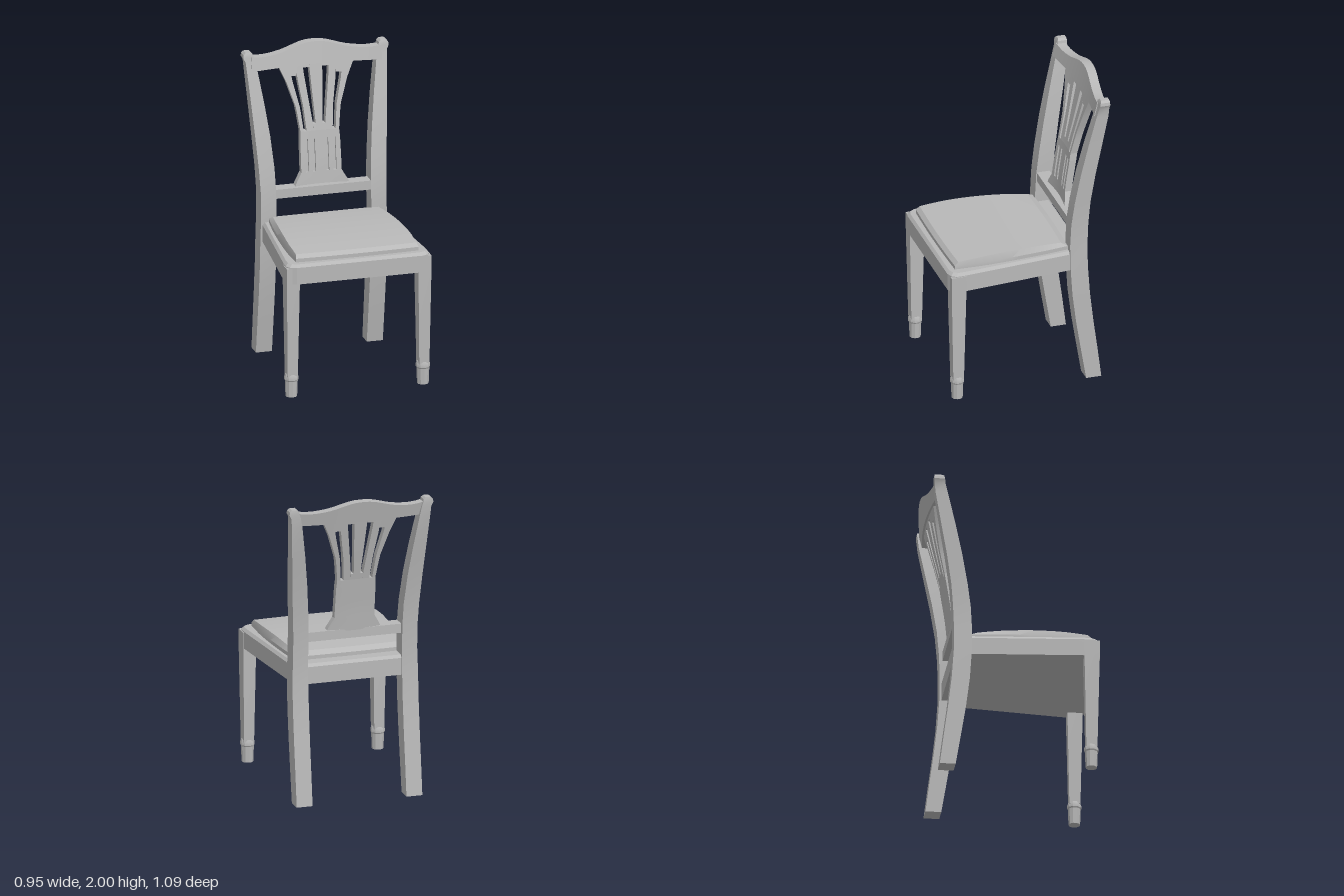
import * as THREE from 'three';
import { toCreasedNormals } from 'three/addons/utils/BufferGeometryUtils.js';

const lerp = THREE.MathUtils.lerp;

// Piecewise linear lookup in a list of [key, value] pairs
function table(pairs, k) {
  if (k <= pairs[0][0]) return pairs[0][1];
  for (let i = 1; i < pairs.length; i++) {
    const [k0, v0] = pairs[i - 1], [k1, v1] = pairs[i];
    if (k <= k1) return lerp(v0, v1, (k - k0) / (k1 - k0));
  }
  return pairs[pairs.length - 1][1];
}

// Depth of the chair back's front face: leaning back and bowed across its width
const LEAN = [[1.05, -0.315], [1.11, -0.32], [1.25, -0.335], [1.45, -0.365], [1.65, -0.41], [1.86, -0.455], [2, -0.487]];
const faceZ = (x, y) => table(LEAN, y) + x * x * lerp(0.5, 0.2, THREE.MathUtils.clamp((y - 1.11) / 0.75, 0, 1));

export function createModel() {
  const chair = new THREE.Group();
  chair.name = 'chair';
  const grey = new THREE.MeshStandardMaterial({ color: 0xb8b8b8 });
  grey.name = 'plain grey';

  function add(name, geometry, parent = chair, crease = 0.5) {
    const mesh = new THREE.Mesh(toCreasedNormals(geometry, crease), grey);
    mesh.name = name;
    parent.add(mesh);
    return mesh;
  }

  // Subdivided box reshaped by fn(u, v, w): u and w run -0.5..0.5, v runs 0..1
  function mold(nx, ny, nz, fn) {
    const g = new THREE.BoxGeometry(1, 1, 1, nx, ny, nz);
    const p = g.attributes.position;
    for (let i = 0; i < p.count; i++) p.setXYZ(i, ...fn(p.getX(i), p.getY(i) + 0.5, p.getZ(i)));
    return g;
  }

  // Back posts running from floor to ear: [y, inner x, outer x, front z, back z]
  const POST = [
    [0, 0.31, 0.415, -0.37, -0.47], [0.2, 0.31, 0.415, -0.337, -0.445], [0.4, 0.31, 0.415, -0.305, -0.418],
    [0.6, 0.31, 0.415, -0.28, -0.395], [0.8, 0.31, 0.415, -0.267, -0.381], [0.95, 0.31, 0.41, -0.266, -0.38],
    [1.1, 0.31, 0.41, -0.274, -0.386], [1.25, 0.315, 0.417, -0.294, -0.398], [1.45, 0.332, 0.43, -0.33, -0.428],
    [1.65, 0.357, 0.443, -0.374, -0.465], [1.86, 0.388, 0.457, -0.425, -0.503], [1.92, 0.4, 0.462, -0.44, -0.508],
    [1.945, 0.408, 0.475, -0.444, -0.51], [1.965, 0.411, 0.472, -0.448, -0.51], [1.978, 0.425, 0.458, -0.455, -0.508],
  ];
  for (const s of [1, -1]) {
    add(s > 0 ? 'leftBackPost' : 'rightBackPost', mold(1, POST.length - 1, 1, (u, v, w) => {
      const [y, xi, xo, zf, zb] = POST[Math.round(v * (POST.length - 1))];
      return [s * (xi + xo) / 2 + u * (xo - xi), y, lerp(zb, zf, w + 0.5)];
    }));
  }

  // Crest rail with an arched top
  const ARCH = [[0, 2], [0.05, 1.998], [0.1, 1.988], [0.16, 1.968], [0.23, 1.95], [0.3, 1.942], [0.36, 1.94], [0.42, 1.95]];
  add('crestRail', mold(20, 2, 1, (u, v, w) => {
    const x = u * 0.85, y = lerp(1.86, table(ARCH, Math.abs(x)), v);
    return [x, y, faceZ(x, y) - 0.058 * (0.5 - w)];
  }));

  // Lower rail between the posts
  const rail = add('lowerBackRail', new THREE.BoxGeometry(0.66, 0.06, 0.085));
  rail.position.set(0, 1.08, -0.32);

  // Pierced splat: bars and panels following the bowed back
  const splat = new THREE.Group();
  splat.name = 'splat';
  chair.add(splat);
  const edge = y => table([[1.11, 0.18], [1.14, 0.16], [1.19, 0.132], [1.4, 0.13], [1.45, 0.126], [1.6, 0.145], [1.77, 0.2], [1.87, 0.245]], y);
  const inner0 = y => table([[1.49, 0.022], [1.84, 0.042]], y);
  const inner1 = y => table([[1.49, 0.04], [1.84, 0.085]], y);
  const outer0 = y => table([[1.45, 0.085], [1.6, 0.097], [1.8, 0.128]], y);
  const outer1 = y => table([[1.45, 0.104], [1.6, 0.119], [1.8, 0.166]], y);
  const at = x => () => x;
  const neg = f => y => -f(y);

  function panel(name, y0, y1, left, right, nx, ny, front = 0, back = 0.045) {
    add(name, mold(nx, ny, 1, (u, v, w) => {
      const y = lerp(y0, y1, v), x = lerp(left(y), right(y), u + 0.5);
      return [x, y, faceZ(x, y) - lerp(back, front, w + 0.5)];
    }), splat);
  }
  function pair(name, y0, y1, a, b, ny, front, back) {
    panel(name, y0, y1, a, b, 2, ny, front, back);
    panel(name, y0, y1, neg(b), neg(a), 2, ny, front, back);
  }

  panel('splatFoot', 1.1, 1.19, neg(edge), edge, 8, 3);
  // Fluted waist: solid back with raised ribs leaving four grooves
  panel('waistBack', 1.19, 1.4, neg(edge), edge, 8, 4, 0.015);
  panel('waistRib', 1.19, 1.4, at(-0.034), at(0.034), 2, 4, 0, 0.015);
  pair('waistRib', 1.19, 1.4, at(0.053), at(0.08), 4, 0, 0.015);
  pair('waistRib', 1.19, 1.4, at(0.1), edge, 4, 0, 0.015);
  panel('splatBand', 1.4, 1.45, neg(edge), edge, 8, 1);
  // Fan of five bars with four slots
  panel('fanBar', 1.45, 1.87, neg(inner0), inner0, 2, 8);
  pair('fanBar', 1.45, 1.87, inner1, outer0, 8);
  pair('fanBar', 1.45, 1.87, outer1, edge, 8);
  // Solid wood closing the slot ends
  pair('slotEnd', 1.45, 1.49, inner0, inner1, 1);
  pair('slotEnd', 1.845, 1.87, inner0, inner1, 1);
  pair('slotEnd', 1.8, 1.87, outer0, outer1, 1);

  // Seat frame: tapered slab with clipped front corners and a chamfered top
  const half = [[0.392, -0.37], [0.4, -0.27], [0.468, 0.45], [0.468, 0.5], [0.45, 0.53], [0.41, 0.545]];
  const outline = [...half, ...half.map(([x, z]) => [-x, z]).reverse()].map(p => new THREE.Vector2(...p));
  const frame = new THREE.ExtrudeGeometry(new THREE.Shape(outline), { depth: 2, steps: 2, bevelEnabled: false });
  frame.rotateX(Math.PI / 2);
  const fp = frame.attributes.position;
  for (let i = 0; i < fp.count; i++) {
    const layer = Math.round(-fp.getY(i)), k = layer === 0 ? 0.965 : 1;
    fp.setXYZ(i, fp.getX(i) * k, [0.904, 0.886, 0.775][layer], (fp.getZ(i) - 0.09) * k + 0.09);
  }
  add('seatFrame', frame, chair, 0.3);

  // Drop-in cushion: upright rim, bevelled shoulder, top domed front to back
  const WIDTH = [[-0.27, 0.36], [-0.1, 0.382], [0.1, 0.398], [0.3, 0.407], [0.5, 0.4]];
  add('cushion', mold(8, 2, 10, (u, v, w) => {
    const top = v > 0.9;
    const bulge = 0.008 * (1 - 4 * u * u);
    const z = lerp(top ? -0.225 : -0.268, top ? 0.468 : 0.492, w + 0.5) + 2 * w * bulge;
    const x = 2 * u * (table(WIDTH, z) - (top ? lerp(0.022, 0.006, w + 0.5) : 0));
    return [x, top ? 0.95 + 0.018 * (1 - 4 * w * w) : [0.9, 0.928][Math.round(v * 2)], z];
  }), chair, 0.35);

  // Front legs: square taper ending in a collared round foot
  const FOOT = [[0, 0.015], [0.037, 0.015], [0.041, 0.12], [0.046, 0.128], [0.046, 0.146], [0.038, 0.165], [0, 0.165]];
  for (const s of [1, -1]) {
    const leg = new THREE.Group();
    leg.name = s > 0 ? 'leftFrontLeg' : 'rightFrontLeg';
    leg.position.set(s * 0.43, 0, 0.487);
    chair.add(leg);
    add('legShaft', mold(1, 2, 1, (u, v, w) => {
      const [y, a, b] = [[0.15, 0.066, 0.07], [0.78, 0.085, 0.097], [0.88, 0.085, 0.097]][Math.round(v * 2)];
      return [u * a, y, w * b];
    }), leg);
    add('foot', new THREE.LatheGeometry(FOOT.map(p => new THREE.Vector2(...p)), 10), leg);
  }
  return chair;
}
